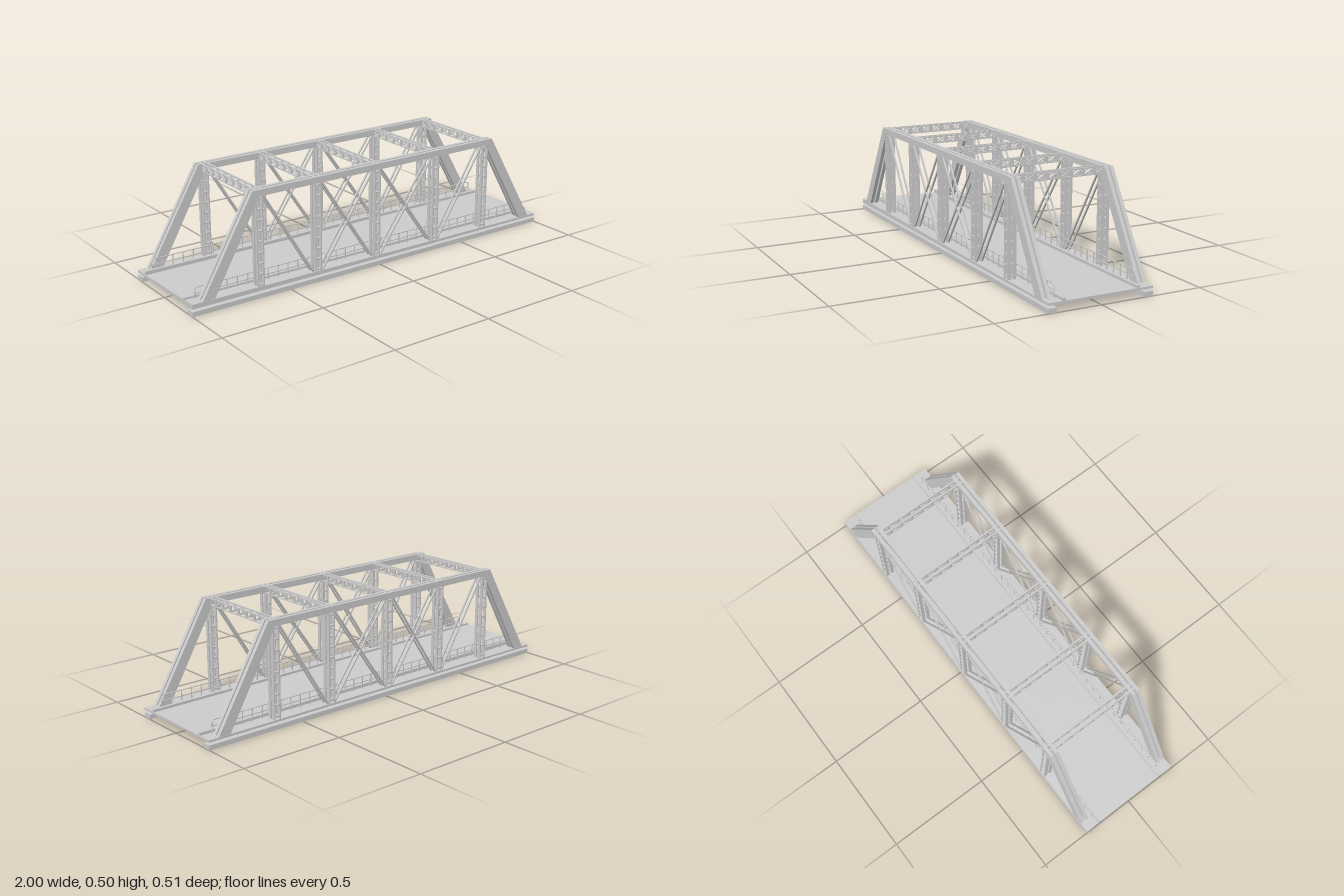
import * as THREE from 'three';

const mat = new THREE.MeshStandardMaterial({ color: 0xcccccc, flatShading: true });
const POSTS = [-0.655, -0.35, -0.02, 0.33, 0.64];
const PLANES = [0.22, 0.246]; // inner and outer truss plane on each side

function add(parent, name, geo) {
  const m = new THREE.Mesh(geo, mat);
  m.name = name;
  parent.add(m);
  return m;
}

// box given by its min / max corners
function block(parent, name, x0, x1, y0, y1, z0, z1) {
  const m = add(parent, name, new THREE.BoxGeometry(x1 - x0, y1 - y0, z1 - z0));
  m.position.set((x0 + x1) / 2, (y0 + y1) / 2, (z0 + z1) / 2);
  return m;
}

// square bar between two points
function bar(parent, name, a, b, w, d) {
  const p = new THREE.Vector3(...a), q = new THREE.Vector3(...b);
  const m = add(parent, name, new THREE.BoxGeometry(w, p.distanceTo(q), d));
  m.position.copy(p).add(q).multiplyScalar(0.5);
  m.quaternion.setFromUnitVectors(new THREE.Vector3(0, 1, 0), q.sub(p).normalize());
  return m;
}

// slab whose top rises slightly towards the -x, +z corner
function deck(parent) {
  const geo = new THREE.BoxGeometry(2, 0.01, 0.51, 16, 1, 8);
  const p = geo.attributes.position;
  for (let i = 0; i < p.count; i++) {
    if (p.getY(i) > 0) {
      const u = (1 - p.getX(i)) / 2, v = (p.getZ(i) + 0.255) / 0.51;
      p.setY(i, p.getY(i) + 0.012 * u * v);
    }
  }
  geo.computeVertexNormals();
  add(parent, 'deck', geo).position.y = 0.04;
}

// inclined end posts and top chord as one bent band
function chord(parent, z) {
  const s = new THREE.Shape();
  [[-0.955, 0.045], [-0.69, 0.5], [0.68, 0.5], [0.95, 0.045],
    [0.89, 0.045], [0.645, 0.47], [-0.655, 0.47], [-0.895, 0.045]]
    .forEach(([x, y], i) => (i ? s.lineTo(x, y) : s.moveTo(x, y)));
  const geo = new THREE.ExtrudeGeometry(s, { depth: 0.017, bevelEnabled: false });
  add(parent, 'topChordAndEndPosts', geo).position.z = z - 0.0085;
}

// vertical ladder post
function ladder(parent, x, z) {
  const g = new THREE.Group();
  g.name = 'ladderPost';
  for (const s of [-1, 1]) {
    const c = x + s * 0.0145;
    block(g, 'postLeg', c - 0.003, c + 0.003, 0.045, 0.475, z - 0.008, z + 0.008);
  }
  for (let i = 0; i < 9; i++) {
    const y = 0.06 + i * 0.05;
    block(g, 'postRung', x - 0.013, x + 0.013, y - 0.004, y + 0.004, z - 0.007, z + 0.007);
  }
  parent.add(g);
}

// thin diagonal braces: [top x, bottom x]
function braces(parent, z) {
  const o = 0.02;
  const pairs = [[0, 1], [1, 2], [2, 1], [2, 3], [3, 2], [4, 3]];
  for (const [t, b] of pairs) {
    const s = Math.sign(b - t);
    bar(parent, 'diagonalBrace', [POSTS[t] + s * o, 0.475, z], [POSTS[b] - s * o, 0.045, z], 0.007, 0.008);
  }
}

// overhead strut of two lattice girders
function strut(parent, x) {
  const g = new THREE.Group();
  g.name = 'overheadStrut';
  for (const s of [-1, 1]) {
    const c = x + s * 0.013, x0 = c - 0.004, x1 = c + 0.004;
    block(g, 'strutTopBar', x0, x1, 0.494, 0.5, -0.237, 0.237);
    block(g, 'strutBottomBar', x0, x1, 0.463, 0.468, -0.237, 0.237);
    for (let i = -4; i <= 4; i++) {
      const z = i * 0.059;
      block(g, 'strutUpright', x0, x1, 0.465, 0.497, z - 0.0055, z + 0.0055);
      if (i < 4) bar(g, 'strutDiagonal', [c, 0.494, z + 0.005], [c, 0.468, z + 0.053], 0.007, 0.005);
    }
  }
  parent.add(g);
}

// pedestrian guard rail with rounded ends
function railing(parent, z) {
  const g = new THREE.Group();
  g.name = 'railing';
  const x0 = -0.955, x1 = 0.945, top = 0.106, r = 0.015;
  const v = (x, y) => new THREE.Vector3(x, y, z);
  const path = new THREE.CurvePath();
  path.add(new THREE.LineCurve3(v(x0, 0.045), v(x0, top - r)));
  path.add(new THREE.QuadraticBezierCurve3(v(x0, top - r), v(x0, top), v(x0 + r, top)));
  path.add(new THREE.LineCurve3(v(x0 + r, top), v(x1 - r, top)));
  path.add(new THREE.QuadraticBezierCurve3(v(x1 - r, top), v(x1, top), v(x1, top - r)));
  path.add(new THREE.LineCurve3(v(x1, top - r), v(x1, 0.045)));
  add(g, 'topRail', new THREE.TubeGeometry(path, 300, 0.0025, 6));
  bar(g, 'midRail', [x0, 0.078, z], [x1, 0.078, z], 0.004, 0.004);
  const n = 36;
  for (let i = 1; i < n; i++) {
    const x = x0 + ((x1 - x0) * i) / n;
    bar(g, 'railPost', [x, 0.045, z], [x, top, z], 0.004, 0.004);
  }
  parent.add(g);
}

export function createModel() {
  const bridge = new THREE.Group();
  bridge.name = 'trussBridge';

  deck(bridge);

  // lower frame beneath the deck
  for (const x of POSTS) block(bridge, 'floorBeam', x - 0.016, x + 0.016, 0.004, 0.018, -0.215, 0.215);

  for (const s of [-1, 1]) {
    const side = new THREE.Group();
    side.name = s > 0 ? 'leftTruss' : 'rightTruss';
    const zc = s * 0.234;
    block(side, 'lowerChord', -1, 1, 0, 0.022, zc - 0.021, zc + 0.021);
    for (const p of PLANES) {
      chord(side, s * p);
      braces(side, s * p);
      for (const x of POSTS) ladder(side, x, s * p);
    }
    railing(side, s * 0.197);
    // curb falling slightly towards +x
    bar(side, 'curb', [-1, 0.056, s * 0.18], [1, 0.049, s * 0.18], 0.017, 0.014);
    bridge.add(side);
  }

  for (const x of POSTS) strut(bridge, x);
  return bridge;
}
